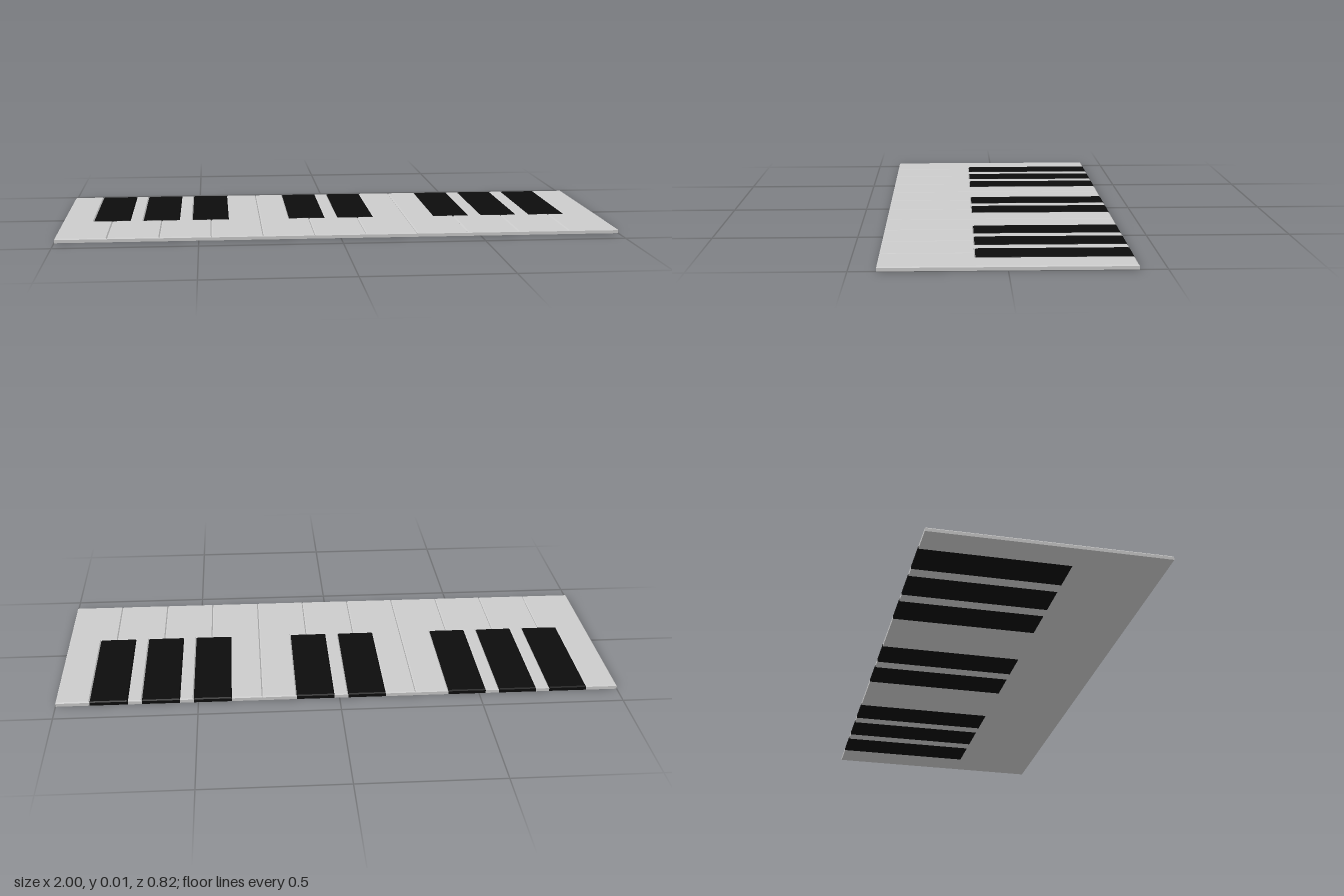
import * as THREE from 'three';

const KEYS = 11, PITCH = 2 / KEYS;
const BACK = -0.41, FRONT = 0.41, BLACK_FRONT = 0.1;
const HEIGHT = 0.015, BEVEL = 0.004, BLACK_WIDTH = 0.134;

// Black key centres, keyed by the white-key boundary they straddle
const BLACK_CENTRES = {
  1: -0.821, 2: -0.639, 3: -0.457, 5: -0.098, 6: 0.085, 8: 0.449, 9: 0.631, 10: 0.814,
};

// Flat slab from an [x, z] outline, bevelled along its top edge only
function slab(outline) {
  const shape = new THREE.Shape(outline.map(([x, z]) => new THREE.Vector2(x, -z)));
  const geo = new THREE.ExtrudeGeometry(shape, {
    depth: HEIGHT - BEVEL,
    bevelEnabled: true,
    bevelSegments: 1,
    bevelThickness: BEVEL,
    bevelSize: BEVEL,
    bevelOffset: -BEVEL,
  });
  // Flatten the lower bevel into the base
  const pos = geo.attributes.position;
  for (let i = 0; i < pos.count; i++) pos.setZ(i, Math.max(0, pos.getZ(i)));
  geo.rotateX(-Math.PI / 2);
  geo.computeVertexNormals();
  return geo;
}

export function createModel() {
  const group = new THREE.Group();
  group.name = 'pianoKeyboard';
  const white = new THREE.MeshStandardMaterial({ color: 0xcccccc });
  const black = new THREE.MeshStandardMaterial({ color: 0x0c0c0c });

  const add = (name, outline, material) => {
    const mesh = new THREE.Mesh(slab(outline), material);
    mesh.name = name;
    group.add(mesh);
  };

  // White keys, notched wherever a black key sits beside them
  for (let i = 0; i < KEYS; i++) {
    const x0 = -1 + i * PITCH, x1 = x0 + PITCH;
    const left = BLACK_CENTRES[i], right = BLACK_CENTRES[i + 1];
    const outline = [[x0, FRONT], [x1, FRONT]];
    if (right !== undefined) {
      const x = right - BLACK_WIDTH / 2;
      outline.push([x1, BLACK_FRONT], [x, BLACK_FRONT], [x, BACK]);
    } else outline.push([x1, BACK]);
    if (left !== undefined) {
      const x = left + BLACK_WIDTH / 2;
      outline.push([x, BACK], [x, BLACK_FRONT], [x0, BLACK_FRONT]);
    } else outline.push([x0, BACK]);
    add(`whiteKey${i + 1}`, outline, white);
  }

  // Black keys, flush with the white ones
  Object.values(BLACK_CENTRES).forEach((c, i) => {
    const a = c - BLACK_WIDTH / 2, b = c + BLACK_WIDTH / 2;
    add(`blackKey${i + 1}`, [[a, BLACK_FRONT], [b, BLACK_FRONT], [b, BACK], [a, BACK]], black);
  });

  return group;
}
